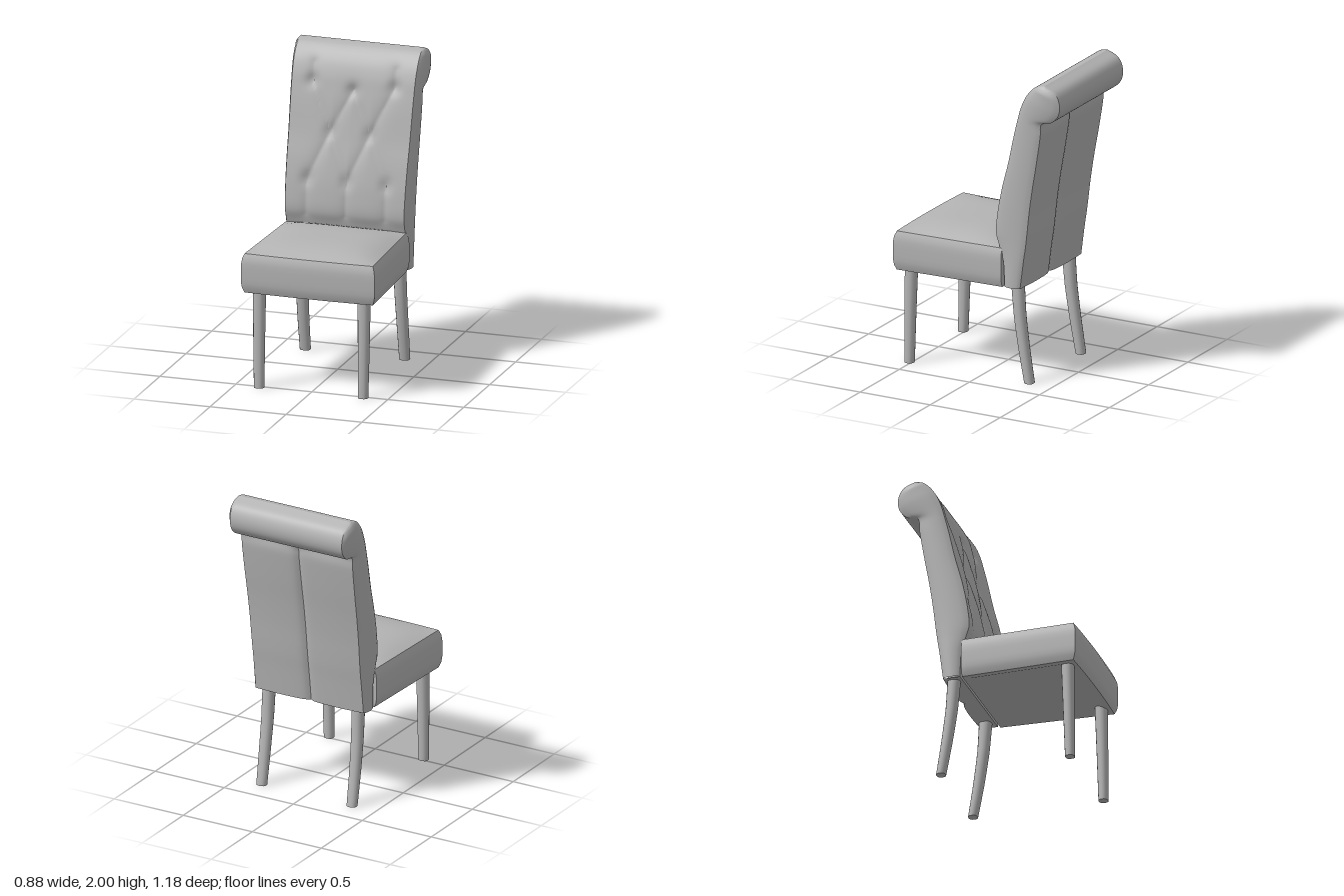
import * as THREE from 'three';
import { mergeGeometries, toCreasedNormals } from 'three/addons/utils/BufferGeometryUtils.js';

// Grid surface; it faces along du x dv
function grid(nu, nv, fn) {
  const pos = [], idx = [];
  for (let j = 0; j <= nv; j++)
    for (let i = 0; i <= nu; i++) pos.push(...fn(i / nu, j / nv));
  for (let j = 0; j < nv; j++)
    for (let i = 0; i < nu; i++) {
      const a = j * (nu + 1) + i, b = a + 1, c = a + nu + 1, d = c + 1;
      idx.push(a, b, d, a, d, c);
    }
  const g = new THREE.BufferGeometry();
  g.setAttribute('position', new THREE.Float32BufferAttribute(pos, 3));
  g.setIndex(idx);
  return g;
}

// Moves every vertex of a geometry by a rule
function warp(geo, rule) {
  const p = geo.attributes.position;
  for (let i = 0; i < p.count; i++) p.setXYZ(i, ...rule(p.getX(i), p.getY(i), p.getZ(i)));
  return geo;
}

const curve = (pts) => new THREE.CatmullRomCurve3(pts.map(([z, y]) => new THREE.Vector3(0, y, z)));

// Backrest profile as (z, y): front and back points are paired from the bottom to the top of the roll
const frontCurve = curve([[-0.19, 0.63], [-0.18, 0.8], [-0.15, 0.9], [-0.13, 0.97], [-0.14, 1.1], [-0.175, 1.28],
  [-0.22, 1.45], [-0.26, 1.63], [-0.285, 1.73], [-0.31, 1.82], [-0.345, 1.9], [-0.39, 1.96], [-0.43, 1.99], [-0.48, 2]]);
const backCurve = curve([[-0.3, 0.63], [-0.325, 0.82], [-0.34, 0.92], [-0.35, 1], [-0.365, 1.13], [-0.39, 1.3],
  [-0.42, 1.47], [-0.45, 1.66], [-0.46, 1.745], [-0.53, 1.765], [-0.58, 1.82], [-0.59, 1.89], [-0.56, 1.96], [-0.48, 2]]);

// Tufting: pleats run between buttons as [x1, y1, x2, y2]
const pleats = [];
for (const s of [-1, 1])
  pleats.push([0, 1.73, s * 0.13, 1.47], [s * 0.13, 1.47, 0, 1.17], [s * 0.27, 1.77, s * 0.13, 1.47],
    [s * 0.13, 1.47, s * 0.26, 1.17], [s * 0.26, 1.17, s * 0.26, 0.95], [s * 0.27, 1.77, s * 0.27, 1.88]);
pleats.push([0, 1.17, 0, 0.95]);
const buttons = [[-0.27, 1.77], [0, 1.73], [0.27, 1.77], [-0.13, 1.47], [0.13, 1.47], [-0.26, 1.17], [0, 1.17], [0.26, 1.17]];

function tuft(x, y) {
  let near = 1;
  for (const [ax, ay, bx, by] of pleats) {
    const dx = bx - ax, dy = by - ay;
    const t = THREE.MathUtils.clamp(((x - ax) * dx + (y - ay) * dy) / (dx * dx + dy * dy), 0, 1);
    near = Math.min(near, Math.hypot(x - ax - t * dx, y - ay - t * dy));
  }
  let depth = 0.014 * Math.exp(-near / 0.035);
  for (const [bx, by] of buttons) depth += 0.018 * Math.exp(-(((x - bx) ** 2 + (y - by) ** 2) / 0.0016));
  return depth;
}

const halfWidth = (y) => 0.39 + 0.015 * THREE.MathUtils.clamp((y - 0.9) / 1.0, 0, 1);

function backrestGeometry() {
  const rows = 78;
  const frontPoint = (x, t) => {
    const p = frontCurve.getPoint(t);
    const px = x * halfWidth(p.y);
    const edge = 1 - Math.abs(x) ** 12;
    return [px, p.y, p.z - tuft(px, p.y) * edge];
  };
  // The back panel is two padded halves with a centre seam below the roll
  const backPoint = (x, t) => {
    const p = backCurve.getPoint(t);
    const fade = THREE.MathUtils.smoothstep(0.615 - t, 0, 0.05);
    const seam = 0.02 * Math.exp(-Math.abs(x) / 0.05) - 0.008 * Math.sin(Math.PI * Math.abs(x));
    return [x * halfWidth(p.y), p.y, p.z + fade * seam];
  };
  // Puffed sides, fuller at the roll
  const side = (s) => (u, t) => {
    const k = s > 0 ? u : 1 - u;
    const f = frontPoint(s, t), b = backPoint(s, t);
    const puff = Math.sin(Math.PI * k) ** 0.6 * (0.018 + 0.012 * THREE.MathUtils.smoothstep(t, 0.6, 0.8));
    const close = Math.min(1, (1 - t) / 0.12);
    const p = f.map((v, i) => v + (b[i] - v) * k);
    p[0] += s * puff * close;
    return p;
  };
  const bottom = (u, v) => {
    const x = u * 2 - 1, f = frontPoint(x, 0), b = backPoint(x, 0);
    return b.map((c, i) => c + (f[i] - c) * v);
  };
  return toCreasedNormals(mergeGeometries([
    grid(64, rows, (u, t) => frontPoint(u * 2 - 1, t)),
    grid(40, rows, (u, t) => backPoint(1 - u * 2, t)),
    grid(10, rows, side(1)),
    grid(10, rows, side(-1)),
    grid(40, 2, bottom),
  ]), 0.7);
}

// Seat cushion: tapers to the back, crowned top, padded sides and a recessed underside
function seatGeometry() {
  const geo = warp(new THREE.BoxGeometry(2, 2, 2, 20, 8, 20), (x, y, z) => {
    const puff = 0.018 * (1 - y ** 4);
    const hw = 0.408 + 0.014 * z + puff;
    let py = 0.752 + 0.127 * y;
    if (y > 0.99) py += 0.052 * (1 - x ** 4) * (1 - Math.abs(z) ** 3);
    if (y < -0.99 && Math.abs(x) < 0.85 && Math.abs(z) < 0.85) py += 0.015;
    const front = 0.562 + puff + 0.01 * (1 - x * x);
    return [x * hw, py, THREE.MathUtils.lerp(-0.175, front, (z + 1) / 2)];
  });
  return toCreasedNormals(geo, 0.7);
}

// Rounded-square leg following sections [x, z, half x, half z] from the foot up
function legGeometry(sections) {
  const tracks = [0, 1].map((k) => new THREE.CatmullRomCurve3(
    sections.map((s) => new THREE.Vector3(s[k * 2], s[k * 2 + 1], 0))));
  const geo = warp(new THREE.CylinderGeometry(1, 1, 1, 16, 12), (x, y, z) => {
    const t = y + 0.5;
    const c = tracks[0].getPoint(t), r = tracks[1].getPoint(t);
    const len = Math.hypot(x, z);
    const square = len > 0 ? len / (x ** 4 + z ** 4) ** 0.25 : 1;
    const k = 1 + (square - 1) * 0.5;
    return [c.x + x * k * r.x, t * 0.66, c.y + z * k * r.y];
  });
  return toCreasedNormals(geo, 0.8);
}

export function createModel() {
  const chair = new THREE.Group();
  chair.name = 'diningChair';
  const grey = new THREE.MeshStandardMaterial({ color: 0xb4b4b4 });
  grey.name = 'plainGrey';
  const add = (name, geo) => {
    const mesh = new THREE.Mesh(geo, grey);
    mesh.name = name;
    chair.add(mesh);
  };

  add('backrest', backrestGeometry());
  add('seat', seatGeometry());

  // Straight front legs and swept back legs
  for (const [side, s] of [['Left', 1], ['Right', -1]]) {
    add('frontLeg' + side, legGeometry([
      [s * 0.342, 0.515, 0.032, 0.03], [s * 0.344, 0.508, 0.036, 0.035], [s * 0.344, 0.5, 0.04, 0.04]]));
    add('backLeg' + side, legGeometry([
      [s * 0.327, -0.333, 0.034, 0.03], [s * 0.327, -0.295, 0.036, 0.034],
      [s * 0.325, -0.264, 0.038, 0.037], [s * 0.323, -0.247, 0.039, 0.041]]));
  }
  return chair;
}
